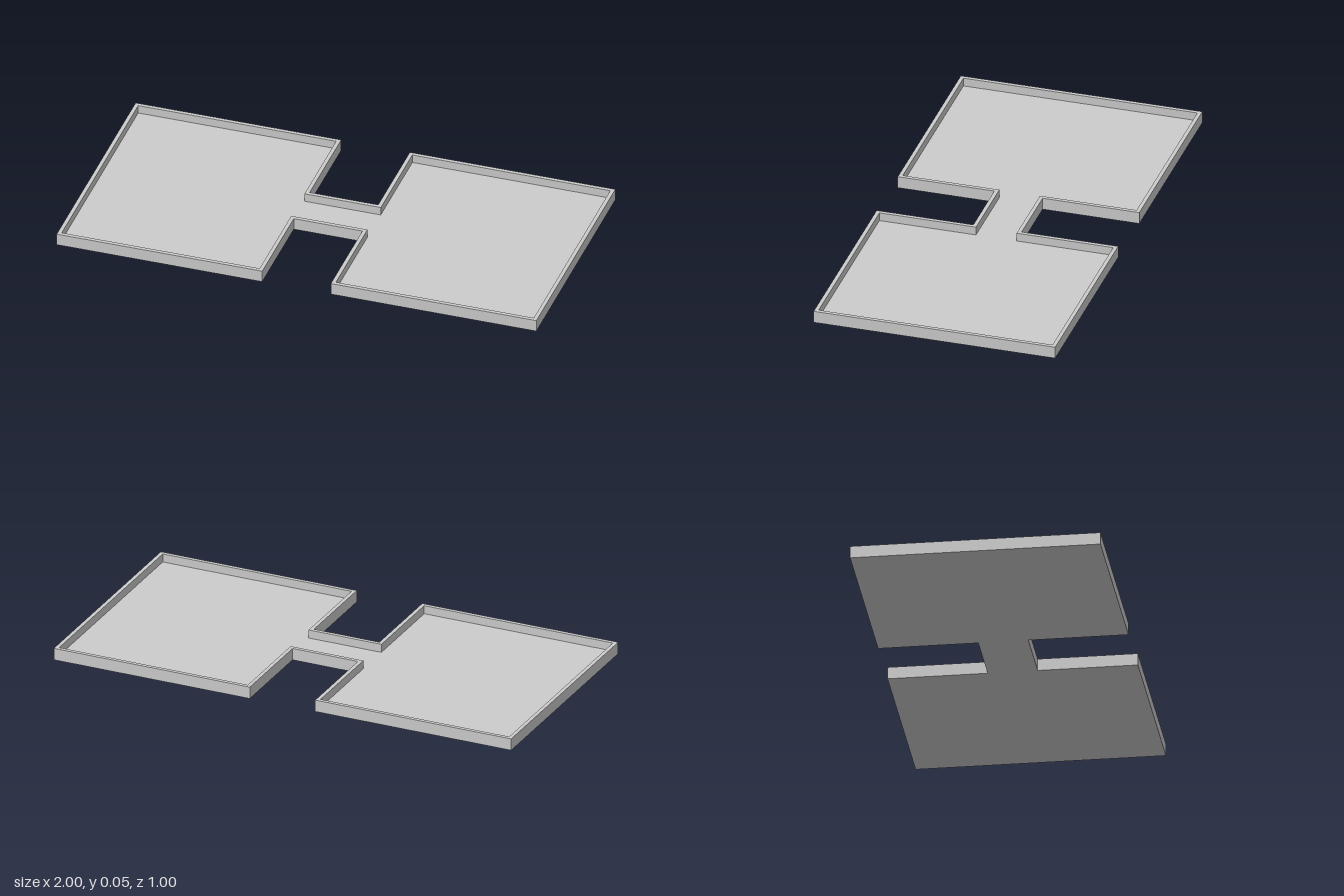
import * as THREE from 'three';

const HALF_X = 1, HALF_Z = 0.5;       // overall half size
const NECK_X = 0.143, NECK_Z = 0.1;   // half length and half width of the connecting channel
const WALL = 0.016, FLOOR = 0.015, HEIGHT = 0.05;

// Two-squares-and-a-neck outline, inset by t
function outline(t) {
  const x = HALF_X - t, z = HALF_Z - t, nx = NECK_X + t, nz = NECK_Z - t;
  return [
    [-x, -z], [-nx, -z], [-nx, -nz], [nx, -nz], [nx, -z], [x, -z],
    [x, z], [nx, z], [nx, nz], [-nx, nz], [-nx, z], [-x, z],
  ].map(([a, b]) => new THREE.Vector2(a, b));
}

// Extrude a plan shape upwards from y to y + height
function slab(name, shape, y, height, material) {
  const geometry = new THREE.ExtrudeGeometry(shape, { depth: height, bevelEnabled: false });
  geometry.rotateX(-Math.PI / 2);
  geometry.translate(0, y, 0);
  const mesh = new THREE.Mesh(geometry, material);
  mesh.name = name;
  return mesh;
}

export function createModel() {
  const group = new THREE.Group();
  group.name = 'doubleTray';
  const material = new THREE.MeshStandardMaterial({ color: 0xcccccc });

  // Base plate
  group.add(slab('floor', new THREE.Shape(outline(0)), 0, FLOOR, material));

  // Continuous raised wall around the edge
  const rim = new THREE.Shape(outline(0));
  rim.holes.push(new THREE.Path(outline(WALL)));
  group.add(slab('rimWall', rim, FLOOR, HEIGHT - FLOOR, material));

  return group;
}
